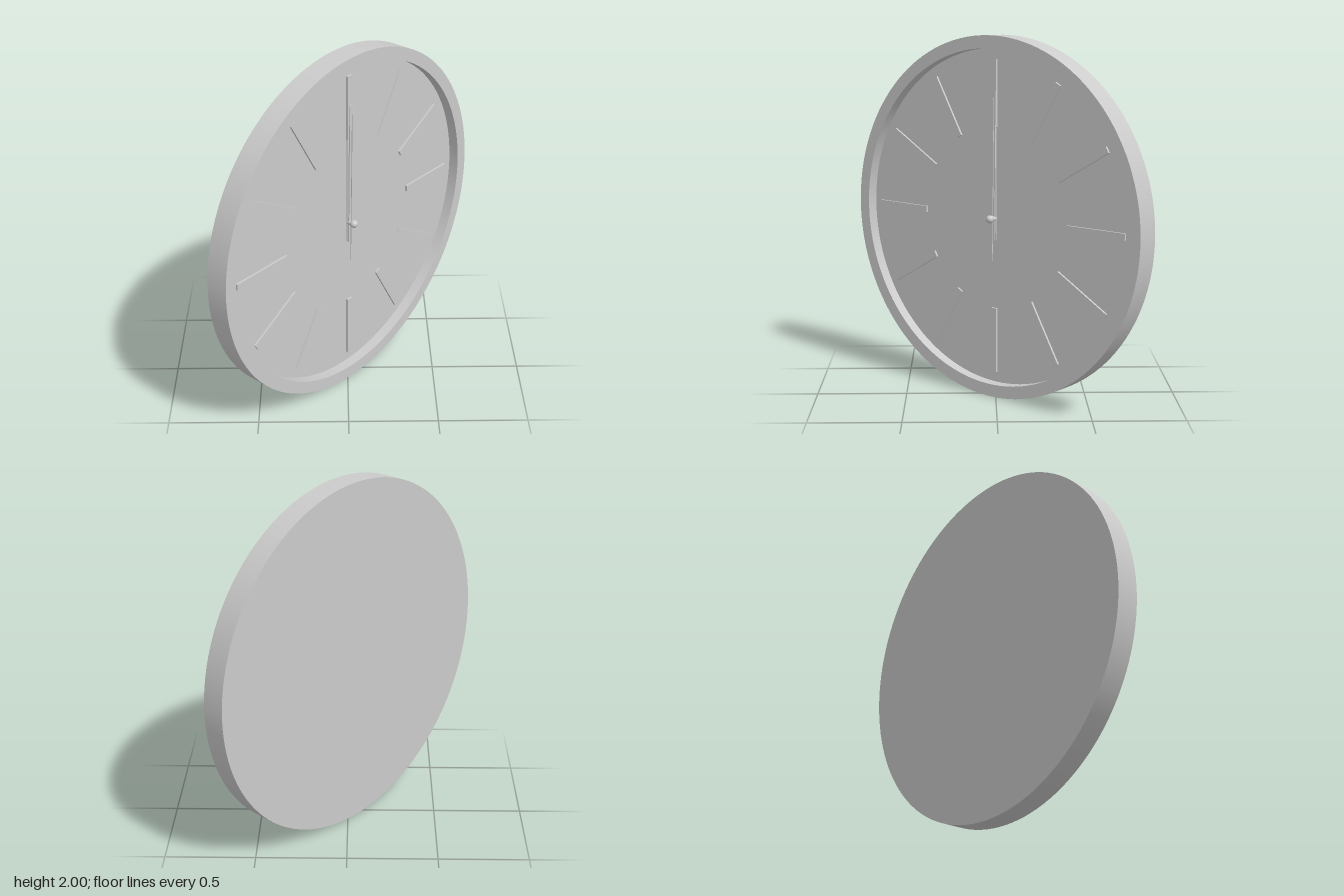
import * as THREE from 'three';

const material = new THREE.MeshStandardMaterial({ color: 0xcccccc });

function add(parent, name, geometry, x = 0, y = 0, z = 0) {
  const mesh = new THREE.Mesh(geometry, material);
  mesh.name = name;
  mesh.position.set(x, y, z);
  parent.add(mesh);
  return mesh;
}

// Flat bar reaching radially from r0 to r1, standing between z0 and z1
function bar(parent, name, width, r0, r1, z0, z1, angle) {
  const geometry = new THREE.BoxGeometry(width, r1 - r0, z1 - z0);
  geometry.translate(0, (r0 + r1) / 2, (z0 + z1) / 2);
  add(parent, name, geometry).rotation.z = -angle;
}

export function createModel() {
  const model = new THREE.Group();
  model.name = 'wallClock';

  // The clock is built facing +z, then turned about the vertical
  const clock = new THREE.Group();
  clock.name = 'clock';
  clock.position.y = 1;
  clock.rotation.y = 0.849;
  model.add(clock);

  // Case: each profile step is its own lathe so the edges stay sharp
  const half = 0.0655, dial = 0.005, inner = 0.93;
  const profile = [
    ['back', 0, -half], ['outerRim', 1, -half], ['frontRim', 1, half],
    ['innerWall', inner, half], ['dial', inner, dial], ['', 0, dial],
  ];
  for (let i = 0; i < profile.length - 1; i++) {
    const points = [profile[i], profile[i + 1]].map(([, r, z]) => new THREE.Vector2(r, z));
    const geometry = new THREE.LatheGeometry(points, 128);
    geometry.rotateX(Math.PI / 2);
    add(clock, profile[i][0], geometry);
  }

  // Twelve hour markers
  for (let i = 0; i < 12; i++) {
    bar(clock, 'hourMarker', 0.036, 0.505, 0.872, dial - 0.002, dial + 0.012, i * Math.PI / 6);
  }

  // Hands, stacked from the dial outwards
  bar(clock, 'hourHand', 0.028, -0.12, 0.5, 0.006, 0.013, 0);
  bar(clock, 'minuteHand', 0.024, -0.12, 0.7, 0.015, 0.022, 0.01);
  bar(clock, 'secondHand', 0.018, -0.235, 0.66, 0.031, 0.036, 0.012);

  // Spindle and rounded cap
  const spindle = new THREE.CylinderGeometry(0.016, 0.016, 0.045, 24);
  spindle.rotateX(Math.PI / 2);
  add(clock, 'spindle', spindle, 0, 0, 0.026);
  add(clock, 'spindleCap', new THREE.SphereGeometry(0.022, 24, 16), 0, 0, 0.047);

  return model;
}
